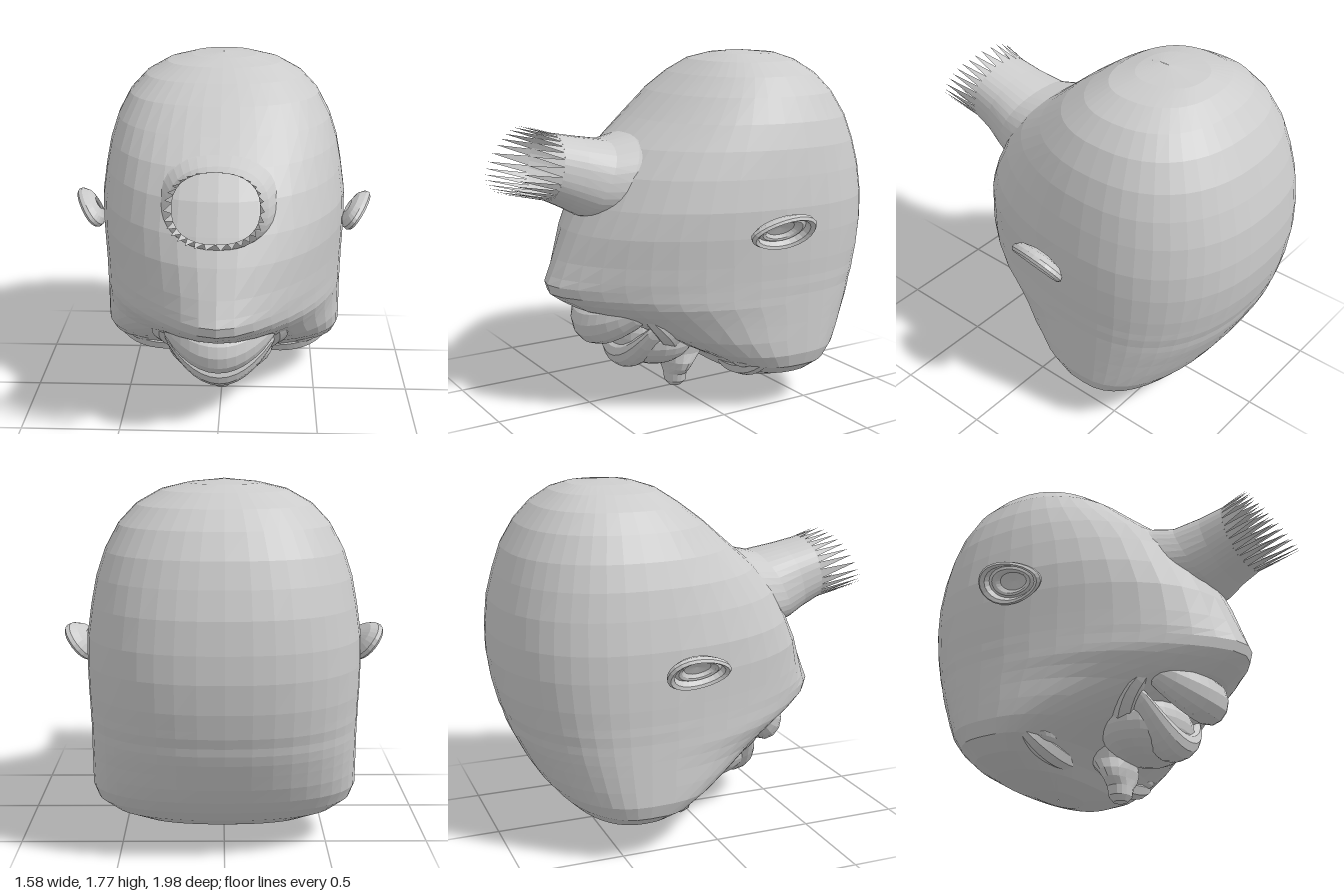
import * as THREE from 'three';

const mat = new THREE.MeshStandardMaterial({ color: 0xcccccc, flatShading: true });
const openMat = new THREE.MeshStandardMaterial({ color: 0xcccccc, flatShading: true, side: THREE.DoubleSide });

// Skin a stack of closed rings; point(i, a) gives [x, y, z] on ring i at angle a
function loft(name, rings, segs, point, material = mat) {
  const pos = [], index = [];
  for (let i = 0; i < rings; i++) {
    for (let j = 0; j < segs; j++) pos.push(...point(i, (j / segs) * Math.PI * 2));
  }
  for (let i = 0; i < rings - 1; i++) {
    for (let j = 0; j < segs; j++) {
      const a = i * segs + j, b = i * segs + (j + 1) % segs;
      index.push(a, b, b + segs, a, b + segs, a + segs);
    }
  }
  const g = new THREE.BufferGeometry();
  g.setAttribute('position', new THREE.Float32BufferAttribute(pos, 3));
  g.setIndex(index);
  g.computeVertexNormals();
  const mesh = new THREE.Mesh(g, material);
  mesh.name = name;
  return mesh;
}

const power = (v, e) => Math.sign(v) * Math.abs(v) ** e;

// Horizontal slices of the skull: y, half width, back z, front z, front exponent, chin bulge
const SKULL = [
  [0.075, 0.001, -0.4, -0.38, 2, 0], [0.08, 0.18, -0.48, -0.3, 2.2, 0], [0.12, 0.41, -0.58, -0.2, 2.4, 0],
  [0.17, 0.54, -0.66, -0.15, 2.6, 0], [0.23, 0.62, -0.72, -0.07, 2.9, 0], [0.3, 0.645, -0.78, 0.07, 2.7, 0],
  [0.38, 0.645, -0.83, 0.23, 2.4, 0], [0.46, 0.645, -0.87, 0.38, 2.1, 0.04], [0.52, 0.645, -0.9, 0.49, 2, 0.08],
  [0.57, 0.645, -0.92, 0.56, 2, 0.09], [0.61, 0.645, -0.93, 0.6, 1.95, 0.105], [0.66, 0.648, -0.95, 0.62, 1.9, 0.1],
  [0.7, 0.648, -0.96, 0.63, 1.9, 0.07], [0.78, 0.652, -0.98, 0.63, 1.9, 0.035],
  [0.92, 0.655, -1, 0.605, 2, 0], [1.05, 0.652, -1, 0.54, 2.1, 0], [1.2, 0.63, -0.985, 0.46, 2.1, 0],
  [1.33, 0.605, -0.95, 0.35, 2.1, 0], [1.45, 0.565, -0.91, 0.2, 2.2, 0], [1.57, 0.5, -0.84, 0.06, 2.3, 0],
  [1.66, 0.415, -0.76, -0.06, 2.3, 0], [1.725, 0.3, -0.67, -0.16, 2.3, 0], [1.757, 0.17, -0.59, -0.26, 2.2, 0],
  [1.773, 0.001, -0.4, -0.35, 2, 0],
];

function skull() {
  return loft('head', SKULL.length, 44, (i, a) => {
    const [y, w, back, front, e, chin] = SKULL[i];
    const mid = THREE.MathUtils.clamp(-0.4, back, front);
    const s = Math.sin(a), c = Math.cos(a);
    const p = 2 / (c > 0 ? e : 2.35);
    const x = w * power(s, p);
    const z = mid + (c > 0 ? front - mid : mid - back) * power(c, p);
    return [x, y, c > 0 ? z + chin * Math.exp(-((x / 0.24) ** 2)) : z];
  });
}

// Neck rings: top z, top y, bottom z, bottom y, half width
const NECK = [
  [0.16, 1.43, 0.42, 0.99, 0.31], [0.28, 1.385, 0.51, 0.985, 0.275],
  [0.4, 1.36, 0.57, 1.0, 0.24], [0.55, 1.385, 0.65, 1.045, 0.21],
  [0.68, 1.41, 0.74, 1.09, 0.2], [0.81, 1.45, 0.985, 1.15, 0.22],
];
function neckPoint(i, a) {
  const [tz, ty, bz, by, w] = NECK[i];
  const t = (1 - power(Math.cos(a), 0.85)) / 2;
  return [-w * power(Math.sin(a), 0.85), ty + (by - ty) * t, tz + (bz - tz) * t];
}

// Torn end of the neck: a crown of thin triangular points
function neckTeeth() {
  const count = 30, step = (Math.PI * 2) / count, pos = [];
  for (let k = 0; k < count; k++) {
    pos.push(...neckPoint(4, k * step), ...neckPoint(4, (k + 1) * step), ...neckPoint(5, (k + 0.5) * step));
  }
  const g = new THREE.BufferGeometry();
  g.setAttribute('position', new THREE.Float32BufferAttribute(pos, 3));
  g.computeVertexNormals();
  const mesh = new THREE.Mesh(g, openMat);
  mesh.name = 'neckTornEdge';
  return mesh;
}

// Lip: bulge across x whose corners sweep up and back
function lip(name, half, y, z, rise, sweep, ry, rz) {
  const rings = 15;
  return loft(name, rings, 12, (i, a) => {
    const t = -1 + (2 * i) / (rings - 1);
    const r = Math.max(0.02, Math.sqrt(1 - t * t));
    return [half * t, y + rise * t * t - ry * r * Math.sin(a), z - sweep * t * t + rz * r * Math.cos(a)];
  });
}

// Nose rings: y, half width, back z, front z
const NOSE = [
  [0, 0.001, -0.015, -0.01], [0.003, 0.035, -0.05, 0.02], [0.03, 0.065, -0.07, 0.04],
  [0.075, 0.075, -0.075, 0.045], [0.11, 0.115, -0.08, 0.05], [0.15, 0.13, -0.11, 0.06],
  [0.2, 0.125, -0.16, 0.065], [0.3, 0.15, -0.24, 0.1],
];
function nose() {
  return loft('nose', NOSE.length, 16, (i, a) => {
    const [y, w, b, f] = NOSE[i];
    return [w * Math.sin(a), y, (b + f) / 2 + ((f - b) / 2) * Math.cos(a)];
  });
}

// Soft roll of skin tapering to both ends
function fold(name, points, radius) {
  const curve = new THREE.CatmullRomCurve3(points.map((p) => new THREE.Vector3(...p)));
  const n = 14, sides = 8;
  const g = new THREE.TubeGeometry(curve, n, radius, sides);
  const pos = g.attributes.position, v = new THREE.Vector3();
  for (let k = 0; k < pos.count; k++) {
    const t = Math.floor(k / (sides + 1)) / n;
    const c = curve.getPointAt(t);
    v.fromBufferAttribute(pos, k).sub(c).multiplyScalar(Math.max(0.05, Math.sqrt(Math.sin(Math.PI * t)))).add(c);
    pos.setXYZ(k, v.x, v.y, v.z);
  }
  g.computeVertexNormals();
  const mesh = new THREE.Mesh(g, mat);
  mesh.name = name;
  return mesh;
}

// Ear: rolled rim around a shallow bowl, flaring out from the head
function ear() {
  const profile = [[0.3, -0.045], [0.75, -0.03], [0.97, -0.005], [1, 0.015], [0.92, 0.028], [0.8, 0.018],
    [0.74, -0.01], [0.62, 0.0], [0.52, -0.005], [0.42, -0.022], [0.001, -0.028]];
  const g = new THREE.LatheGeometry(profile.map((p) => new THREE.Vector2(...p)), 24);
  const pos = g.attributes.position;
  for (let k = 0; k < pos.count; k++) {
    // the lobe narrows and leans in towards the front
    const z = pos.getZ(k);
    pos.setXYZ(k, pos.getX(k) * 0.105 * (1 - 0.2 * z) + 0.02 * z, pos.getY(k) - 0.015 * z, z * 0.168);
  }
  g.computeVertexNormals();
  const mesh = new THREE.Mesh(g, openMat);
  mesh.name = 'ear';
  mesh.position.set(0.702, 0.958, -0.19);
  mesh.rotation.z = THREE.MathUtils.degToRad(-125);
  return mesh;
}

// Everything that exists once on each side of the face
function faceSide(name) {
  const side = new THREE.Group();
  side.name = name;
  const eye = new THREE.Mesh(new THREE.SphereGeometry(0.07, 16, 10), mat);
  eye.name = 'eyeball';
  eye.scale.set(1.35, 0.7, 0.7);
  eye.position.set(0.42, 0.255, -0.15);
  side.add(
    ear(), eye,
    fold('brow', [[0.1, 0.2, -0.21], [0.28, 0.19, -0.19], [0.46, 0.22, -0.19], [0.59, 0.29, -0.22]], 0.06),
    fold('lowerEyelid', [[0.24, 0.27, -0.05], [0.36, 0.31, -0.04], [0.48, 0.32, -0.08], [0.59, 0.32, -0.17]], 0.04),
    fold('cheekFold', [[0.1, 0.25, 0.04], [0.2, 0.34, 0.12], [0.29, 0.45, 0.23], [0.29, 0.56, 0.36]], 0.07),
  );
  return side;
}

export function createModel() {
  const model = new THREE.Group();
  model.name = 'severedHead';

  const muzzle = new THREE.Mesh(new THREE.SphereGeometry(1, 24, 14), mat);
  muzzle.name = 'muzzle';
  muzzle.scale.set(0.28, 0.18, 0.22);
  muzzle.position.set(0, 0.345, 0.14);

  const left = faceSide('leftSide');
  const right = faceSide('rightSide');
  right.scale.x = -1;

  model.add(
    skull(),
    loft('neck', 5, 36, neckPoint, openMat),
    neckTeeth(),
    muzzle,
    lip('lowerLip', 0.32, 0.435, 0.47, 0.12, 0.17, 0.115, 0.1),
    lip('upperLip', 0.31, 0.24, 0.28, 0.23, 0.04, 0.08, 0.1),
    nose(),
    left, right,
  );
  return model;
}
